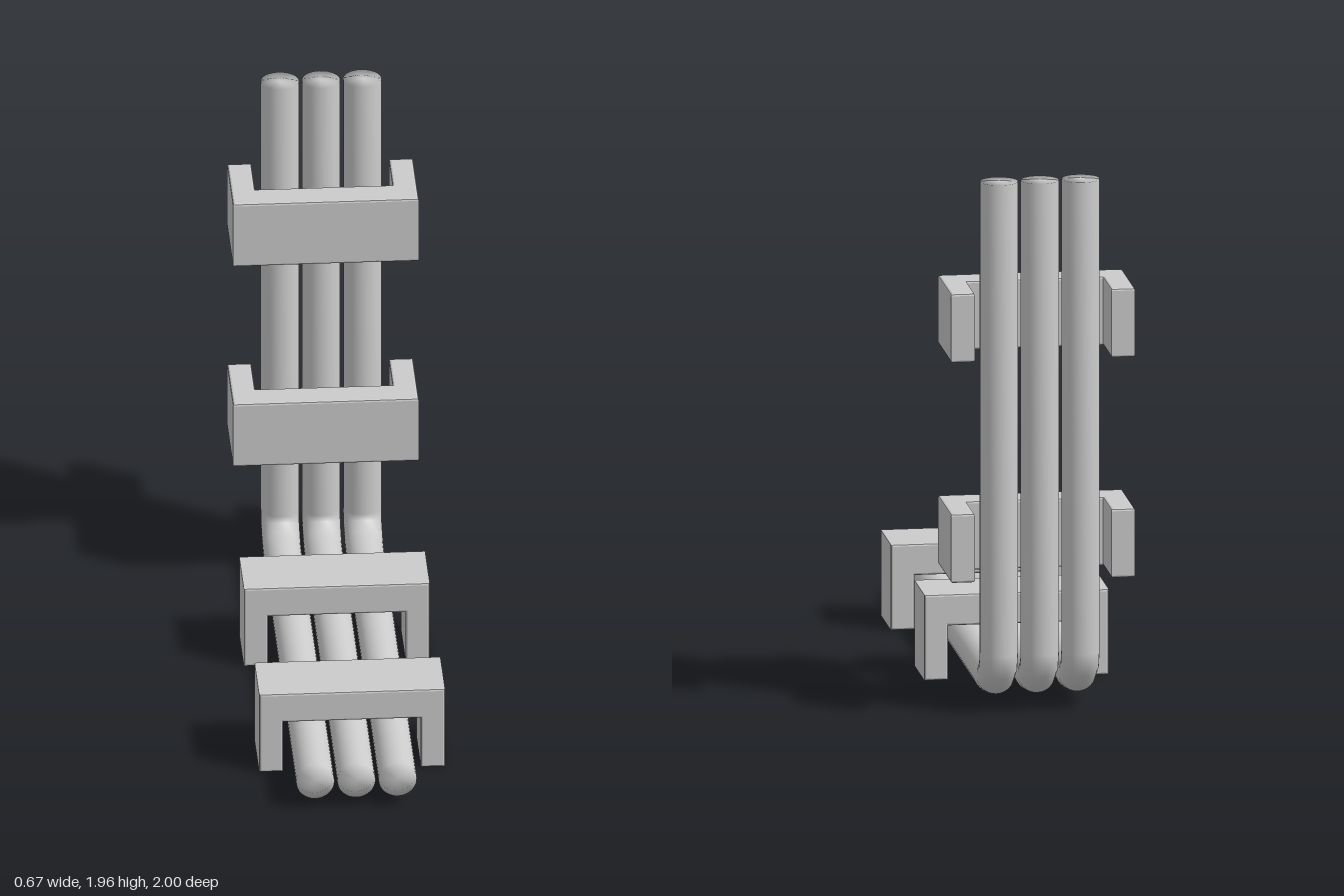
import * as THREE from 'three';

const grey = new THREE.MeshStandardMaterial({ color: 0xcccccc });

// Bent pipe lofted from rings along its path: [y, z, tilt in degrees]
function pipeGeometry(radius, sides) {
  const path = [
    [0.108, 1, 0], [0.108, -0.745, 3], [0.118, -0.806, 20],
    [0.165, -0.876, 58], [0.22, -0.893, 88], [1.96, -0.893, 90],
  ];
  const positions = [], index = [];
  for (const [y, z, deg] of path) {
    const t = THREE.MathUtils.degToRad(deg);
    for (let j = 0; j < sides; j++) {
      const a = (j / sides) * Math.PI * 2, s = radius * Math.sin(a);
      positions.push(radius * Math.cos(a), y - s * Math.cos(t), z - s * Math.sin(t));
    }
  }
  for (let i = 0; i < path.length - 1; i++) {
    for (let j = 0; j < sides; j++) {
      const k = (j + 1) % sides;
      const a = i * sides + j, b = i * sides + k;
      index.push(a, b, a + sides, b, b + sides, a + sides);
    }
  }
  // End caps share the rim vertices, so the ends shade softly
  const last = path.length - 1, c0 = path.length * sides, c1 = c0 + 1;
  for (const i of [0, last]) positions.push(0, path[i][0], path[i][1]);
  for (let j = 0; j < sides; j++) {
    const k = (j + 1) % sides;
    index.push(c0, k, j, c1, last * sides + j, last * sides + k);
  }
  const geo = new THREE.BufferGeometry();
  geo.setAttribute('position', new THREE.Float32BufferAttribute(positions, 3));
  geo.setIndex(index);
  geo.computeVertexNormals();
  return geo;
}

// U-shaped bracket, legs down, slightly bevelled edges, centred along its width
function clampGeometry() {
  const w = 0.335, inner = 0.248, h = 0.316, under = 0.2, width = 0.254, bevel = 0.008;
  const shape = new THREE.Shape([
    [-w, 0], [-inner, 0], [-inner, under], [inner, under],
    [inner, 0], [w, 0], [w, h], [-w, h],
  ].map(([x, y]) => new THREE.Vector2(x, y)));
  const geo = new THREE.ExtrudeGeometry(shape, {
    depth: width - 2 * bevel, bevelEnabled: true, bevelSize: bevel,
    bevelThickness: bevel, bevelOffset: -bevel, bevelSegments: 2,
  });
  geo.translate(0, 0, bevel - width / 2);
  return geo;
}

export function createModel() {
  const model = new THREE.Group();
  model.name = 'clampedPipes';

  const pipe = pipeGeometry(0.069, 32);
  [-0.152, -0.004, 0.145].forEach((x, i) => {
    const mesh = new THREE.Mesh(pipe, grey);
    mesh.name = `pipe${i + 1}`;
    mesh.position.x = x;
    model.add(mesh);
  });

  const clamp = clampGeometry();
  // Clamps standing over the horizontal run
  [0.586, -0.23].forEach((z, i) => {
    const mesh = new THREE.Mesh(clamp, grey);
    mesh.name = `floorClamp${i + 1}`;
    mesh.position.z = z;
    model.add(mesh);
  });
  // Clamps around the vertical run, legs toward the back
  [0.633, 1.446].forEach((y, i) => {
    const mesh = new THREE.Mesh(clamp, grey);
    mesh.name = `wallClamp${i + 1}`;
    mesh.rotation.x = Math.PI / 2;
    mesh.position.set(0, y, -1);
    model.add(mesh);
  });

  return model;
}
